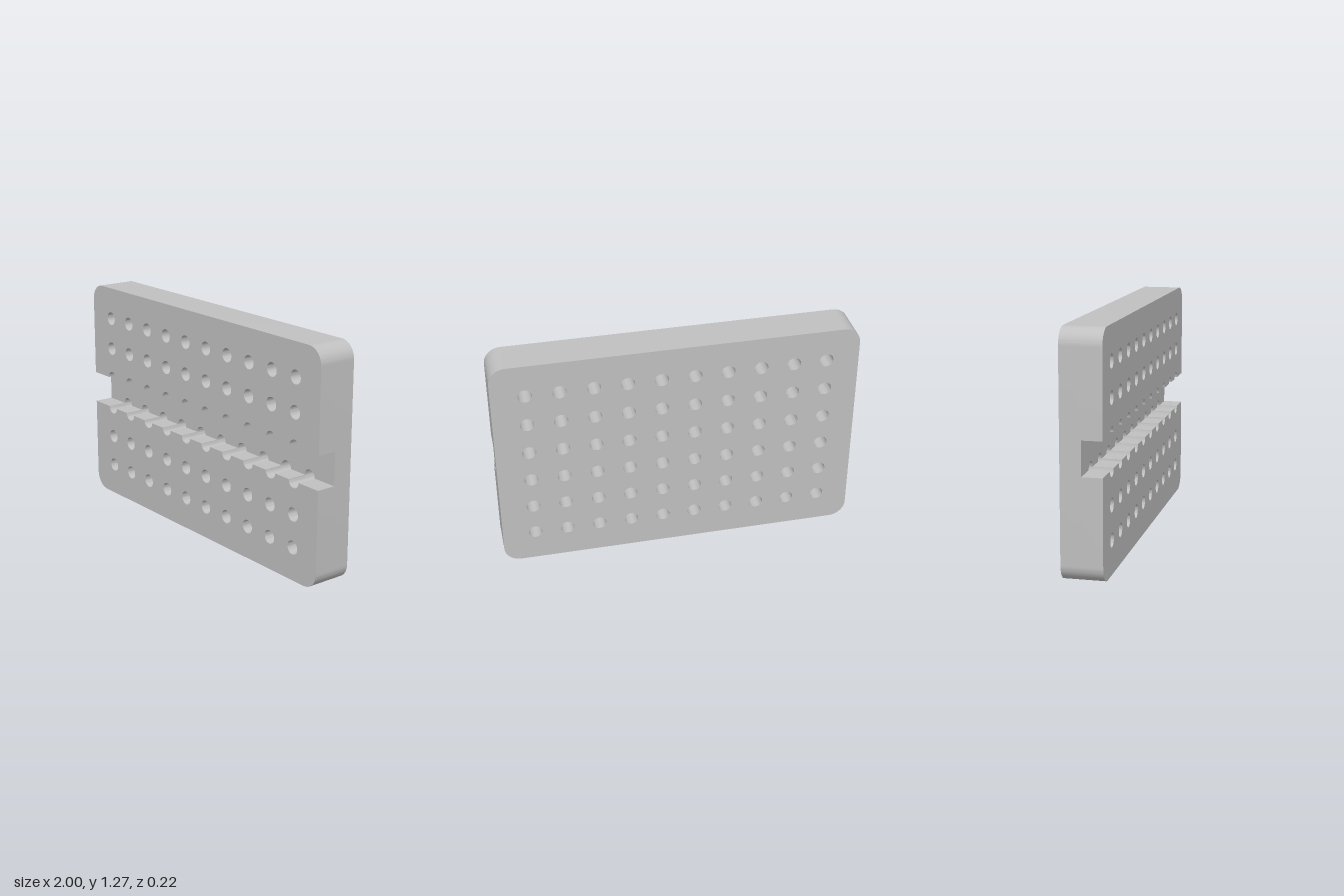
import * as THREE from 'three';
import { mergeGeometries, toCreasedNormals } from 'three/addons/utils/BufferGeometryUtils.js';

const U = 2 / 11;                 // hole pitch
const W = 1, H = 7 * U;           // half width, full height
const D = 0.6 * U;                // half thickness
const R = 0.5 * U, HOLE = 0.038;  // corner and hole radii
const G0 = 3 * U, G1 = 4 * U;     // groove bottom and top
const columns = Array.from({ length: 10 }, (_, i) => (i - 4.5) * U);

const v = (x, y) => new THREE.Vector2(x, y);

function arc(cx, cy, r, a0, a1, n) {
  return Array.from({ length: n + 1 }, (_, i) => {
    const a = a0 + (a1 - a0) * i / n;
    return v(cx + r * Math.cos(a), cy + r * Math.sin(a));
  });
}

// Flat face with holes at depth z, turned to +z or -z
function face(outline, holes, z, back = false) {
  const shape = new THREE.Shape(outline);
  shape.holes = holes.map(h => new THREE.Path(h));
  const g = new THREE.ShapeGeometry(shape).translate(0, 0, z);
  if (back) g.index.array.reverse();
  const flat = g.toNonIndexed();
  flat.deleteAttribute('uv');
  return flat;
}

// Wall around a closed outline from z0 to z1; counter-clockwise faces outwards
function wall(points, z0, z1) {
  const pos = [];
  points.forEach((a, i) => {
    const b = points[(i + 1) % points.length];
    if (a.distanceTo(b) < 1e-6) return;
    pos.push(a.x, a.y, z0, b.x, b.y, z0, b.x, b.y, z1);
    pos.push(a.x, a.y, z0, b.x, b.y, z1, a.x, a.y, z1);
  });
  const g = new THREE.BufferGeometry();
  g.setAttribute('position', new THREE.Float32BufferAttribute(pos, 3));
  g.computeVertexNormals();
  return g;
}

const mirrorY = points => points.map(p => v(p.x, H - p.y)).reverse();

export function createModel() {
  const PI = Math.PI;
  const material = new THREE.MeshStandardMaterial({ color: 0xc0c0c0 });
  material.name = 'light grey';

  // Bottom corners, shared by the whole outline and the lower block
  const foot = [
    ...arc(-W + R, R, R, PI, 1.5 * PI, 20),
    ...arc(W - R, R, R, 1.5 * PI, 2 * PI, 20),
    v(W, G0),
  ];
  const head = mirrorY([v(-W, G0), ...foot.slice(0, -1), v(W, G0)]);
  const whole = [...foot, ...head, v(-W, G0)];

  // Half holes biting into the groove edges
  const right = [...columns].reverse();
  const biteDown = y => right.flatMap(x => arc(x, y, HOLE, 0, -PI, 16));
  const lower = [...foot, ...biteDown(G0), v(-W, G0)];
  const upper = mirrorY(lower);
  const floor = [
    v(-W, G0), ...columns.flatMap(x => arc(x, G0, HOLE, PI, 0, 16)), v(W, G0),
    v(W, G1), ...biteDown(G1), v(-W, G1),
  ];

  // Round holes, one row per pitch, running clockwise so walls face inwards
  const row = k => columns.map(x => arc(x, k * U, HOLE, 0, -2 * PI, 32).slice(0, -1));
  const lowHoles = [1, 2].flatMap(row);
  const grooveHoles = [3, 4].flatMap(row);
  const highHoles = [5, 6].flatMap(row);
  const through = [...lowHoles, ...highHoles];

  const parts = {
    backFace: [face(whole, [...through, ...grooveHoles], -D, true)],
    frontFaces: [face(lower, lowHoles, D), face(upper, highHoles, D)],
    grooveFloor: [face(floor, [], 0)],
    sideAndGrooveWalls: [wall(whole, -D, 0), wall(lower, 0, D), wall(upper, 0, D)],
    holeWalls: [
      ...through.map(h => wall(h, -D, D)),
      ...grooveHoles.map(h => wall(h, -D, 0)),
    ],
  };

  const group = new THREE.Group();
  group.name = 'perforatedBlock';
  for (const [name, list] of Object.entries(parts)) {
    const mesh = new THREE.Mesh(toCreasedNormals(mergeGeometries(list), 0.5), material);
    mesh.name = name;
    group.add(mesh);
  }
  return group;
}
